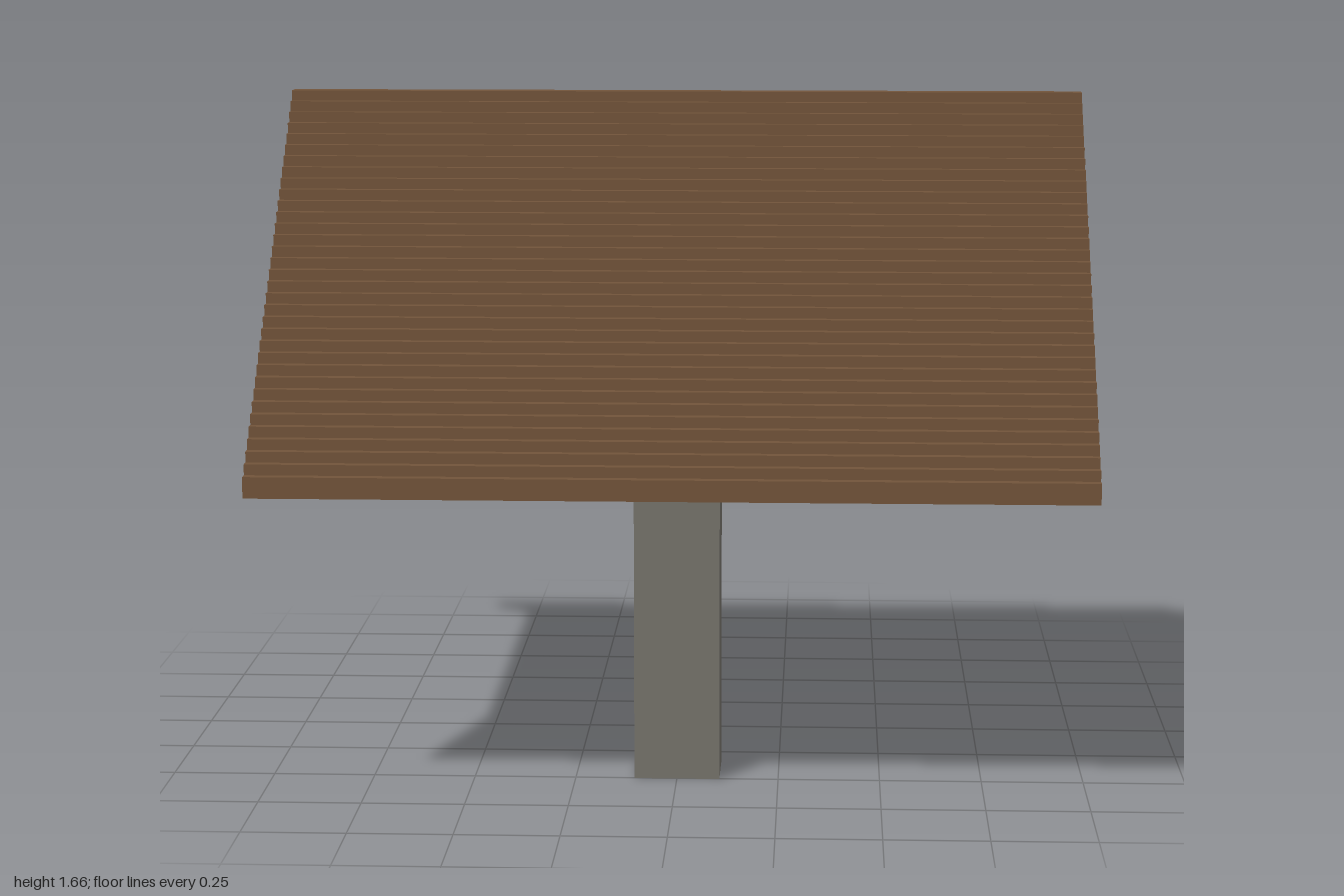
import * as THREE from 'three';

const wood = new THREE.MeshStandardMaterial({ color: 0x72543a });
wood.name = 'brown wood';
const stone = new THREE.MeshStandardMaterial({ color: 0x76736b });
stone.name = 'grey stone';

// Box given by its lower and upper corners
function box(name, material, lo, hi) {
  const size = hi.map((v, i) => v - lo[i]);
  const mesh = new THREE.Mesh(new THREE.BoxGeometry(...size), material);
  mesh.position.set(...hi.map((v, i) => (v + lo[i]) / 2));
  mesh.name = name;
  return mesh;
}

export function createModel() {
  const model = new THREE.Group();
  model.name = 'gabledShelter';

  const step = 0.0255;
  const ridgeY = 1.66;
  const steps = 34;

  // Roof: a ridge beam and two flights of overlapping stepped slats
  const roof = new THREE.Group();
  roof.name = 'roof';
  roof.add(box('ridgeBeam', wood, [-1, ridgeY - 2 * step, -step], [1, ridgeY, step]));
  for (const side of [1, -1]) {
    for (let i = 1; i < steps; i++) {
      const top = ridgeY - i * step;
      const z = side * (i + 0.5) * step;
      roof.add(box('roofSlat', wood,
        [-1, top - 2 * step, z - step / 2], [1, top, z + step / 2]));
    }
  }
  model.add(roof);

  // Gable walls, set in from the roof ends, with small wooden end blocks
  const base = 0.79, wallZ = 30 * step, thick = 0.055, peak = 1.638;
  const shape = new THREE.Shape();
  shape.moveTo(-wallZ, base);
  shape.lineTo(wallZ, base);
  shape.lineTo(wallZ, peak - wallZ);
  shape.lineTo(0, peak);
  shape.lineTo(-wallZ, peak - wallZ);
  shape.closePath();
  const gable = new THREE.ExtrudeGeometry(shape, { depth: thick, bevelEnabled: false });
  gable.rotateY(Math.PI / 2);
  for (const x of [0.845, -0.9]) {
    const wall = new THREE.Mesh(gable, stone);
    wall.name = 'gableWall';
    wall.position.x = x;
    model.add(wall);
    for (const z of [wallZ, -wallZ - step]) {
      model.add(box('gableEndBlock', wood, [x, base, z], [x + thick, base + 0.056, z + step]));
    }
  }

  // Post below the front slope
  model.add(box('post', stone, [-0.105, 0, 0.345], [0.105, 0.86, 0.503]));
  return model;
}
